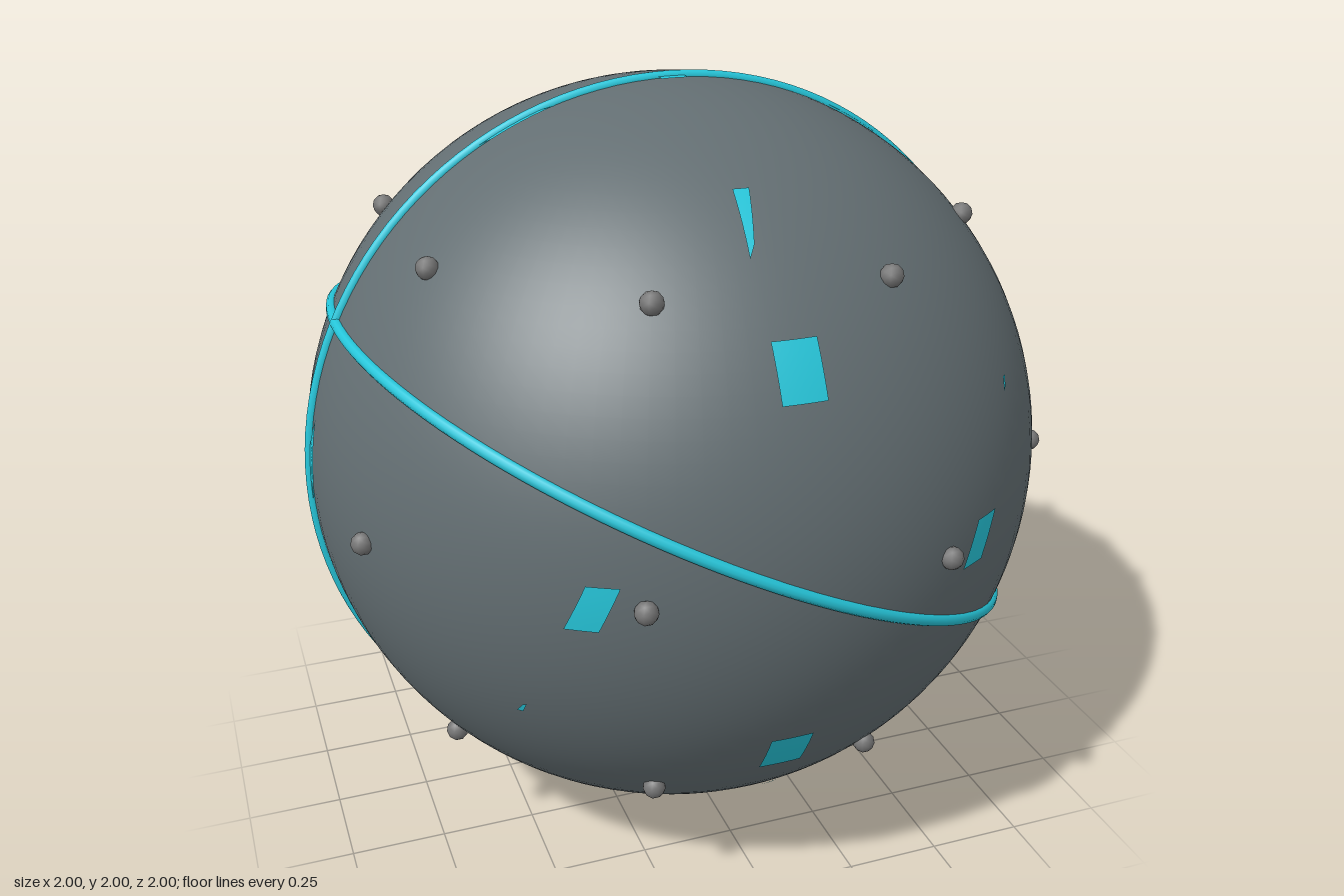
import * as THREE from 'three';

const R = 0.985;

const bodyGrey = new THREE.MeshStandardMaterial({ color: 0x636e72 });
bodyGrey.name = 'bodyGrey';
const studGrey = new THREE.MeshStandardMaterial({ color: 0x757575 });
studGrey.name = 'studGrey';
const glowCyan = new THREE.MeshStandardMaterial({ color: 0x26c6da });
glowCyan.name = 'glowCyan';

// Four-cornered plate bent over the sphere around +z; corners run counter-clockwise
function patchGeometry([a, b, c, d], n = 6) {
  const geo = new THREE.PlaneGeometry(1, 1, n, n);
  const pos = geo.attributes.position;
  const r = R + 0.004;
  for (let i = 0; i < pos.count; i++) {
    const s = pos.getX(i) + 0.5, t = pos.getY(i) + 0.5;
    const mix = k => (1 - t) * ((1 - s) * a[k] + s * b[k]) + t * ((1 - s) * d[k] + s * c[k]);
    const x = mix(0), y = mix(1);
    pos.setXYZ(i, x, y, Math.sqrt(r * r - x * x - y * y));
  }
  geo.computeVertexNormals();
  return geo;
}

export function createModel() {
  const model = new THREE.Group();
  model.name = 'studdedSphere';
  const ball = new THREE.Group();
  ball.name = 'ball';
  ball.position.y = 1;
  model.add(ball);

  const add = (name, geo, mat, parent = ball) => {
    const mesh = new THREE.Mesh(geo, mat);
    mesh.name = name;
    parent.add(mesh);
    return mesh;
  };

  add('body', new THREE.SphereGeometry(R, 96, 64), bodyGrey);

  // Upright band and tilted band
  const ring = new THREE.TorusGeometry(R, 0.015, 10, 128);
  add('uprightBand', ring, glowCyan);
  add('tiltedBand', ring, glowCyan).rotation.set(Math.PI / 2, -0.45, 0);

  // Three rows of eight studs
  const stud = new THREE.IcosahedronGeometry(0.029, 1);
  for (const lat of [-0.7, 0, 0.7]) {
    for (let i = 0; i < 8; i++) {
      const a = (i + 0.5) * Math.PI / 4;
      add('stud', stud, studGrey).position.set(
        0.992 * Math.cos(lat) * Math.cos(a), 0.992 * Math.sin(lat), 0.992 * Math.cos(lat) * Math.sin(a));
    }
  }

  // Light plates, repeated by half turns about the axes
  const H = Math.PI;
  const all = [[0, 0, 0], [H, 0, 0], [0, H, 0], [0, 0, H]];
  const front = [0, 0, 0], side = [0, H / 2, 0], top = [-H / 2, 0, 0];
  const plates = [
    ['squareLight', front, all, [[-0.055, 0.435], [0.055, 0.435], [0.055, 0.56], [-0.055, 0.56]]],
    ['slantedLight', front, all, [[0.43, -0.055], [0.5, -0.055], [0.545, 0.06], [0.475, 0.06]]],
    ['sliverLight', front, all, [[-0.055, 0.71], [-0.035, 0.735], [0, 0.83], [-0.04, 0.83]]],
    ['tinyLight', front, all, [[0.61, 0.315], [0.618, 0.32], [0.627, 0.345], [0.615, 0.345]]],
    ['shoulderLight', top, all, [[0.31, 0.03], [0.47, -0.035], [0.61, -0.035], [0.47, 0.03]]],
    ['sideLight', side, [all[0], all[2]], [[-0.06, -0.2], [0.06, 0.04], [0.06, 0.2], [-0.06, -0.035]]],
    ['poleLight', top, [all[0], all[1]], [[-0.035, -0.04], [0.035, -0.04], [0.035, 0.04], [-0.035, 0.04]]],
  ];
  for (const [name, facing, turns, corners] of plates) {
    const geo = patchGeometry(corners);
    for (const turn of turns) {
      const holder = new THREE.Group();
      holder.name = name + 'Holder';
      holder.rotation.set(...turn);
      ball.add(holder);
      add(name, geo, glowCyan, holder).rotation.set(...facing);
    }
  }
  return model;
}
